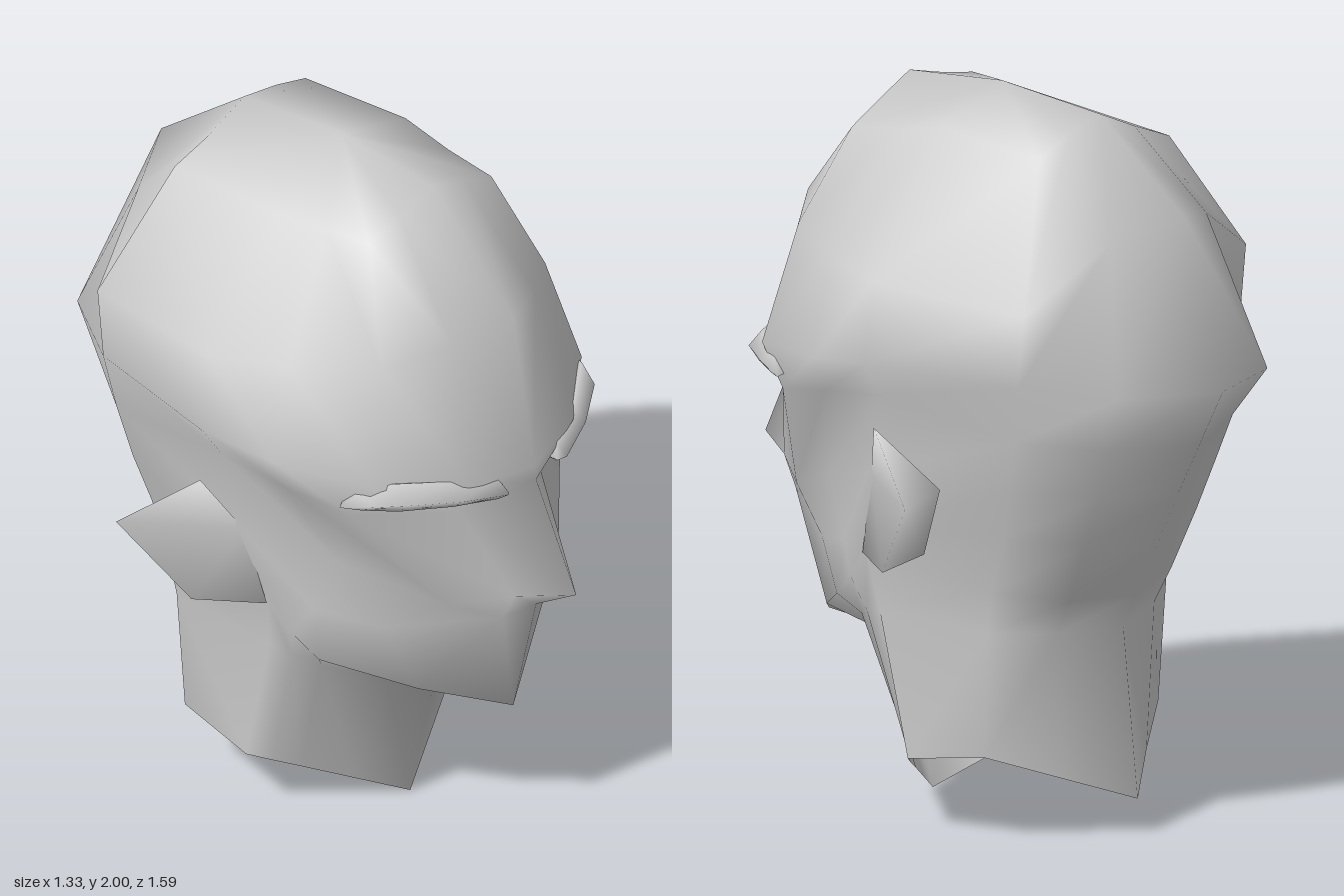
import * as THREE from 'three';

const skin = new THREE.MeshStandardMaterial({ color: 0xcccccc, side: THREE.DoubleSide });
skin.name = 'plain grey';

// Half sections run from the front centre, round the left side, to the back centre.
const neck = [
  [[0, 0, .21], [.13, .07, .13], [.26, .14, .05], [.33, .178, .01],
    [.39, .21, -.03], [.36, .25, -.27], [.18, .175, -.38], [0, .1, -.5]],
  [[0, .41, .3], [.17, .47, .27], [.33, .56, .18], [.38, .59, .12],
    [.4, .61, .06], [.37, .6, -.29], [.2, .58, -.39], [0, .57, -.45]],
];
const face = [
  [[0, .43, .57], [.2, .515, .41], [.385, .62, .22], [.415, .69, .15],
    [.43, .77, .08], [.38, .72, -.31], [.21, .68, -.44], [0, .66, -.49]],
  [[0, .79, .65], [.09, .775, .61], [.28, .73, .36], [.38, .77, .2],
    [.45, .85, .06], [.39, .88, -.36], [.23, .85, -.51], [0, .8, -.56]],
  [[0, .88, .79], [.09, .86, .65], [.2, .83, .515], [.36, .94, .27],
    [.485, 1.01, .03], [.42, 1.02, -.4], [.24, 1.0, -.57], [0, .97, -.64]],
  [[0, 1.19, .65], [.16, 1.11, .52], [.43, 1.17, .37], [.485, 1.21, .18],
    [.505, 1.24, -.02], [.44, 1.17, -.44], [.25, 1.13, -.62], [0, 1.12, -.715]],
];
const skull = [
  [[0, 1.23, .645], [.21, 1.25, .6], [.42, 1.28, .45], [.53, 1.31, .18],
    [.57, 1.34, -.03], [.46, 1.33, -.47], [.25, 1.28, -.74], [0, 1.28, -.795]],
  [[0, 1.67, .57], [.17, 1.64, .5], [.335, 1.6, .395], [.46, 1.58, .18],
    [.54, 1.56, -.03], [.46, 1.53, -.49], [.2, 1.69, -.57], [0, 1.74, -.66]],
  [[0, 1.97, .29], [.13, 1.935, .285], [.25, 1.91, .28], [.25, 1.89, .13],
    [.25, 1.925, -.02], [.25, 1.9, -.37], [.13, 1.94, -.37], [0, 1.97, -.37]],
];

function build(name, points, index) {
  const g = new THREE.BufferGeometry();
  g.setAttribute('position', new THREE.Float32BufferAttribute(points.flat(), 3));
  g.setIndex(index);
  g.computeVertexNormals();
  const mesh = new THREE.Mesh(g, skin);
  mesh.name = name;
  return mesh;
}

// Joins closed rings of equal length, with an optional point closing each end
function loft(name, rings, startCap, endCap) {
  const n = rings[0].length, points = rings.flat(), index = [];
  for (let r = 0; r < rings.length - 1; r++) {
    for (let i = 0; i < n; i++) {
      const a = r * n + i, b = r * n + (i + 1) % n, c = b + n, d = a + n;
      if (i < n / 2) index.push(a, b, c, a, c, d);
      else index.push(a, b, d, b, c, d);
    }
  }
  const close = (cap, first, flip) => {
    const tip = points.push(cap) - 1;
    for (let i = 0; i < n; i++) {
      const a = first + i, b = first + (i + 1) % n;
      index.push(...(flip ? [b, a, tip] : [a, b, tip]));
    }
  };
  if (startCap) close(startCap, 0, true);
  if (endCap) close(endCap, (rings.length - 1) * n, false);
  return build(name, points, index);
}

const mirrorPoint = ([x, y, z]) => [-x, y, z];
const fullRing = half => [...half, ...half.slice(1, -1).reverse().map(mirrorPoint)];

// Flared, faceted ear: a fan from the outer rim to its root in the head
function ear(side) {
  const points = [
    [.555, 1.165, -.05], [.665, 1.0, -.25], [.555, .77, -.08], [.44, .77, .085],
    [.47, 1.0, .03], [.46, 1.0, -.2], [.43, .8, -.12],
  ].map(([x, y, z]) => [x * side, y, z]);
  const faces = [
    [0, 4, 1], [4, 2, 1], [4, 3, 2],
    [0, 1, 5], [1, 2, 6], [1, 6, 5], [2, 3, 6],
  ];
  const index = faces.flatMap(f => (side > 0 ? f : [f[0], f[2], f[1]]));
  return build(side > 0 ? 'leftEar' : 'rightEar', points, index);
}

// Brow ridge: diamond sections swept outwards along the forehead
function brow(side) {
  const stations = [
    [.12, 1.21, .62, .035], [.25, 1.235, .575, .038],
    [.38, 1.255, .495, .042], [.43, 1.235, .41, .03],
  ];
  const rings = stations.map(([x, y, z, r]) => {
    const ring = [[x, y + r, z - .01], [x, y - r * .2, z + .035], [x, y - r, z], [x - .04, y, z - .08]];
    return ring.map(([px, py, pz]) => [px * side, py, pz]);
  });
  if (side > 0) rings.forEach(ring => ring.reverse());
  return loft(side > 0 ? 'leftBrow' : 'rightBrow', rings, [.1 * side, 1.195, .64], [.465 * side, 1.21, .36]);
}

export function createModel() {
  const model = new THREE.Group();
  model.name = 'headBust';

  const rings = [...neck, ...face, ...skull].map(fullRing);
  const [eyes, temples, crown] = [rings[5], rings[6], rings[8]];
  // The back of the left side is cut flatter than the right
  temples[6] = [.25, 1.28, -.635];
  eyes[6] = [.25, 1.13, -.59];
  // The crown is uneven: lower at the left front and along the right side
  crown[1] = [.13, 1.92, .285];
  crown[2] = [.25, 1.87, .28];
  crown[10] = [-.25, 1.87, -.02];
  crown[9] = [-.25, 1.86, -.4];
  crown[8] = [-.13, 1.91, -.38];
  model.add(loft('head', rings, null, [0, 2, -.03]));

  for (const side of [1, -1]) model.add(ear(side), brow(side));
  return model;
}
